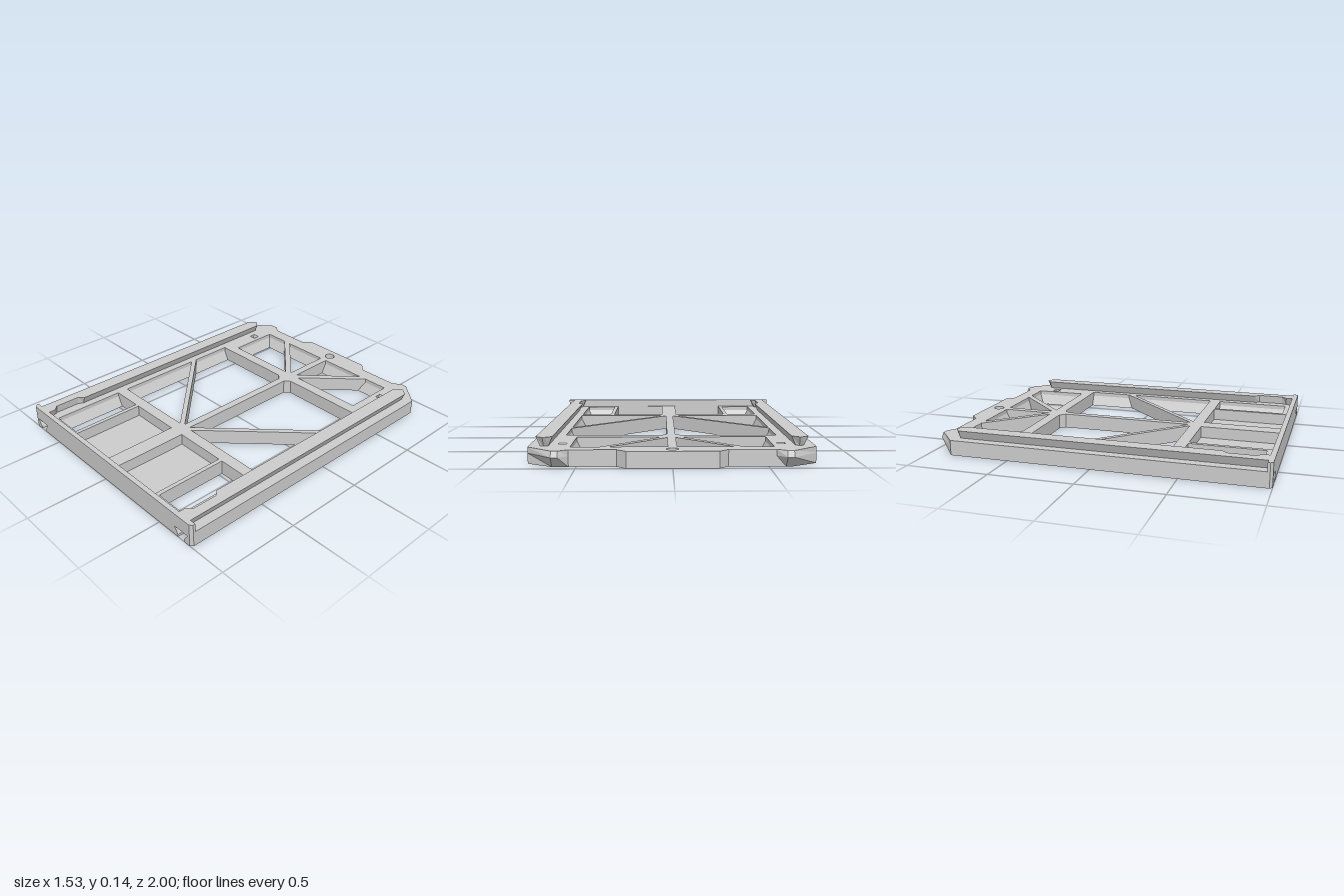
import * as THREE from 'three';

const H = 0.09;      // frame height
const SPLIT = 0.057; // ceiling of the dovetail grooves
const WALL = 0.14;   // height of rails and front wall
const SLOPE = 0.065; // height of the sloped window edges

export function createModel() {
  const group = new THREE.Group();
  const material = new THREE.MeshStandardMaterial({ color: 0xcccccc, flatShading: true });
  const add = (name, geometry) => {
    const mesh = new THREE.Mesh(geometry, material);
    mesh.name = name;
    group.add(mesh);
  };

  const flip = (pts) => pts.map(([x, z]) => [-x, z]);
  const rect = (x0, x1, z0, z1) => [[x0, z0], [x1, z0], [x1, z1], [x0, z1]];
  // Plan points, wound clockwise for holes and anticlockwise for outlines
  const planPoints = (pts, clockwise) => {
    const out = pts.map(([x, z]) => new THREE.Vector2(x, -z));
    return THREE.ShapeUtils.isClockWise(out) === clockwise ? out : out.reverse();
  };

  // Extrudes an [x, z] plan upwards from y0 to y1
  function slab(outline, y0, y1, holes = []) {
    const shape = new THREE.Shape(planPoints(outline, false));
    holes.forEach((h) => shape.holes.push(new THREE.Path(planPoints(h, true))));
    return new THREE.ExtrudeGeometry(shape, { depth: y1 - y0, bevelEnabled: false })
      .rotateX(-Math.PI / 2).translate(0, y0, 0);
  }
  // Extrudes an [x, y] section along z
  function prismZ(section, z0, z1) {
    const shape = new THREE.Shape(section.map(([x, y]) => new THREE.Vector2(x, y)));
    return new THREE.ExtrudeGeometry(shape, { depth: z1 - z0, bevelEnabled: false })
      .translate(0, 0, z0);
  }
  // Extrudes a [z, y] section along x
  const prismX = (section, x0, x1) =>
    prismZ(section.map(([z, y]) => [-z, y]), x0, x1).rotateY(Math.PI / 2);

  // Half outline from back to front, then mirrored
  const back = [[0.24, -1], [0.29, -0.95], [0.54, -0.95], [0.59, -1], [0.625, -1], [0.765, -0.86]];
  const front = [[0.765, 0.985], [0.75, 1]];
  const groove = [[0.735, 1], [0.735, -0.85], [0.63, -0.85], [0.63, 1]];
  const full = (half) => [...half, ...flip(half).reverse()];

  // Openings on one side of the centre bar
  const windows = [
    [[0.54, -0.862], [0.54, -0.536], [0.057, -0.536], [0.383, -0.862]],
    [[0.33, -0.862], [0.024, -0.556], [0.024, -0.862]],
    [[0.024, -0.434], [0.057, -0.467], [0.61, -0.467], [0.61, -0.193], [0.024, 0.393]],
    [[0.61, -0.15], [0.61, 0.407], [0.053, 0.407]],
    rect(0.413, 0.61, 0.478, 0.928),
    rect(0.05, 0.387, 0.478, 0.968),
  ];
  const pocket = rect(0.57, 0.615, -0.775, -0.732);
  const both = (list) => [...list, ...list.map(flip)];
  const pin = Array.from({ length: 24 }, (_, i) => {
    const a = (i / 24) * Math.PI * 2;
    return [0.032 * Math.cos(a), -0.932 + 0.032 * Math.sin(a)];
  });

  // Pulls the tips of the two back ears in at height y to chamfer them
  function chamferEars(geometry, y, z) {
    const p = geometry.attributes.position;
    for (let i = 0; i < p.count; i++) {
      if (Math.abs(p.getY(i) - y) < 0.01 && Math.abs(p.getX(i)) > 0.56 && p.getZ(i) < z) p.setZ(i, z);
    }
    geometry.computeVertexNormals();
    return geometry;
  }

  // Lower layer holds the grooves, upper layer the latch pockets
  add('lowerFrame', chamferEars(
    slab(full([...back, ...front, ...groove]), 0, SPLIT, [pin, ...both(windows)]), 0, -0.95));
  add('upperFrame', chamferEars(
    slab(full([...back, ...front]), SPLIT, H, [pin, ...both([...windows, pocket])]), H, -0.985));

  // Front wall rising above the deck
  add('frontWall', slab(full([[0.765, 0.97], ...front]), H, WALL));

  // Sloped back edge of the rear windows
  add('rearWindowSlope', prismX([[-0.862, SLOPE], [-0.862, 0], [-0.83, 0]], -0.54, 0.54));

  for (const s of [1, -1]) {
    const side = s > 0 ? 'left' : 'right';
    const m = (pts) => pts.map(([x, y]) => [x * s, y]);
    const span = (x0, x1) => (s > 0 ? [x0, x1] : [-x1, -x0]);

    // Dovetail rail: notched plan, narrower at its foot, pointed at the back
    const rail = slab(m([[0.727, 0.97], [0.727, -0.825], [0.687, -0.858], [0.677, -0.858], [0.637, -0.825],
      [0.637, 0.715], [0.667, 0.745], [0.667, 0.9], [0.637, 0.93], [0.637, 0.97]]), H, WALL);
    const r = rail.attributes.position;
    for (let i = 0; i < r.count; i++) {
      if (r.getY(i) > H + 0.01) continue;
      r.setX(i, s * (0.682 + (Math.abs(r.getX(i)) - 0.682) * 0.5));
      if (r.getZ(i) < -0.84) r.setZ(i, r.getZ(i) + 0.025);
    }
    rail.computeVertexNormals();
    add(side + 'Rail', rail);

    // Lips that undercut the groove
    add(side + 'OuterGrooveLip',
      prismZ(m([[0.735, SPLIT], [0.735, 0], [0.705, 0], [0.705, 0.016]]), -0.85, 1));
    add(side + 'InnerGrooveLip',
      prismZ(m([[0.63, SPLIT], [0.63, 0], [0.656, 0], [0.656, 0.016]]), -0.85, 1));

    // Sloped window edges
    for (const [x, z0, z1] of [[0.54, -0.862, -0.536], [0.61, -0.467, 0.407], [0.61, 0.478, 0.928]]) {
      add(side + 'WindowSlope', prismZ(m([[x, SLOPE], [x, 0], [x - 0.033, 0]]), z0, z1));
    }
    add(side + 'FrontWindowSlope',
      prismX([[0.928, SLOPE], [0.928, 0], [0.895, 0]], ...span(0.413, 0.61)));

    // Recessed tray floor, leaving a slot at the front wall
    add(side + 'TrayFloor', slab(m(rect(0.05, 0.387, 0.478, 0.938)), 0, 0.02));

    // V-shaped bottom of the small latch pocket
    add(side + 'LatchPocket', prismX([[-0.732, H], [-0.732, SPLIT], [-0.775, SPLIT], [-0.775, H],
      [-0.757, SPLIT + 0.003]], ...span(0.57, 0.615)));
  }
  return group;
}
